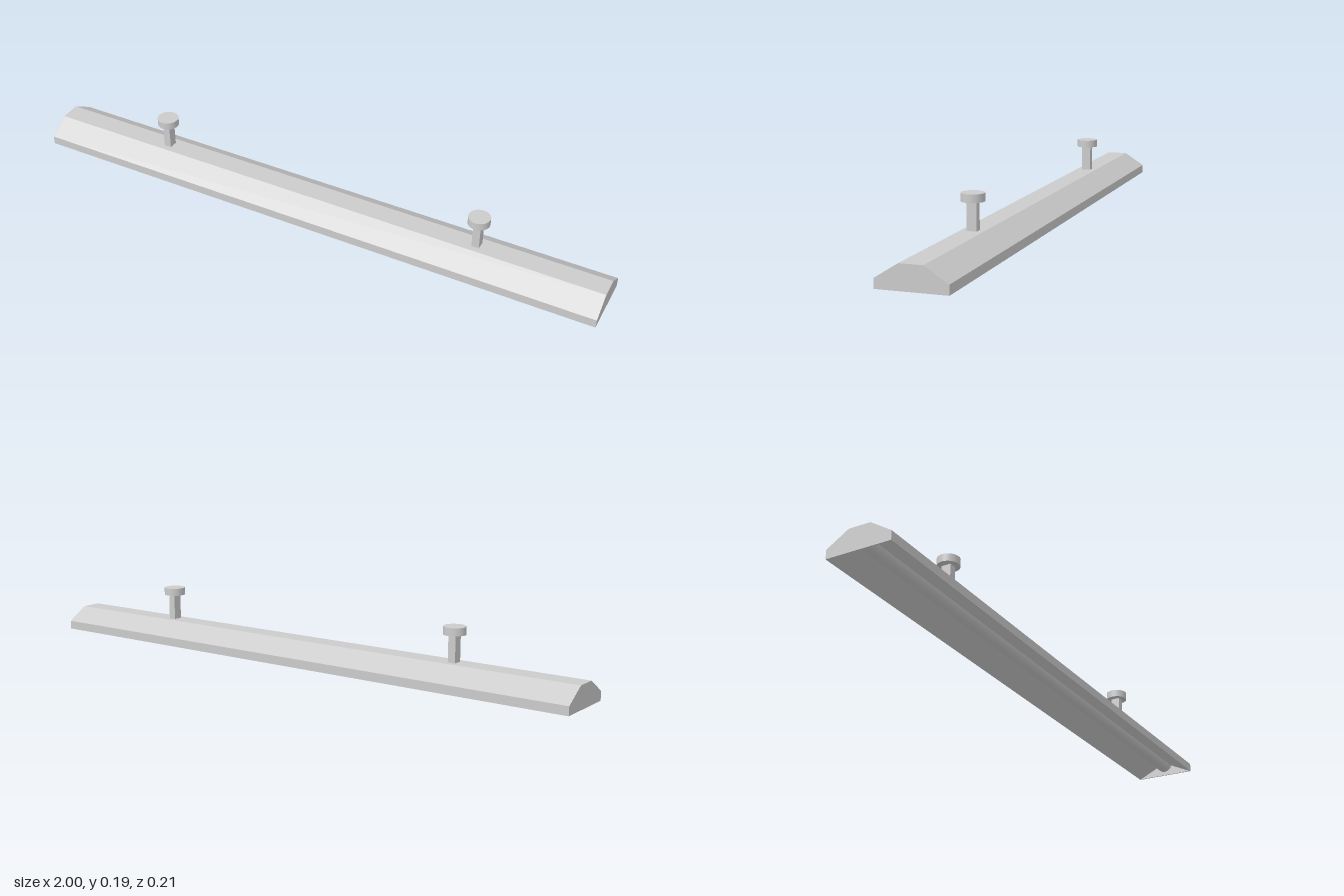
import * as THREE from 'three';

const material = new THREE.MeshStandardMaterial({ color: 0xcccccc });

function addPart(parent, name, geometry, x = 0, y = 0, z = 0) {
  const mesh = new THREE.Mesh(geometry, material);
  mesh.name = name;
  mesh.position.set(x, y, z);
  parent.add(mesh);
  return mesh;
}

// Extrudes a (z, y) outline along x, centred on x = 0
function extrudeAlongX(points, length) {
  const shape = new THREE.Shape(points.map(([z, y]) => new THREE.Vector2(z, y)));
  const geometry = new THREE.ExtrudeGeometry(shape, { depth: length, bevelEnabled: false });
  geometry.translate(0, 0, -length / 2);
  return geometry.rotateY(Math.PI / 2);
}

export function createModel() {
  const model = new THREE.Group();
  model.name = 'hangingTubeLight';

  const outer = [[0.106, 0], [0.106, 0.029], [0.035, 0.074], [-0.035, 0.074], [-0.106, 0.029], [-0.106, 0]];
  const reflector = [[-0.103, 0], [-0.03, 0.035], [0.03, 0.035], [0.103, 0]];
  const plate = 0.004;

  // Housing with the sloped reflector recessed in its underside
  addPart(model, 'housing', extrudeAlongX([...outer, ...reflector], 2 - 2 * plate));

  // Plates closing both ends
  for (const side of [-1, 1]) {
    addPart(model, side > 0 ? 'leftEndPlate' : 'rightEndPlate',
      extrudeAlongX(outer, plate), side * (1 - plate / 2));
  }

  // Lamp tube, partly sunk into the reflector
  const tube = new THREE.CylinderGeometry(0.029, 0.029, 2 - 2 * plate, 32).rotateZ(Math.PI / 2);
  addPart(model, 'lampTube', tube, 0, 0.043, 0);

  // Two hangers: square stem with a round ceiling mount
  for (const side of [-1, 1]) {
    const hanger = new THREE.Group();
    hanger.name = side > 0 ? 'leftHanger' : 'rightHanger';
    hanger.position.x = side * 0.571;
    addPart(hanger, 'stem', new THREE.BoxGeometry(0.025, 0.09, 0.031), 0, 0.117, 0);
    addPart(hanger, 'ceilingMount', new THREE.CylinderGeometry(0.0355, 0.0355, 0.025, 32), 0, 0.1725, 0);
    model.add(hanger);
  }

  return model;
}
